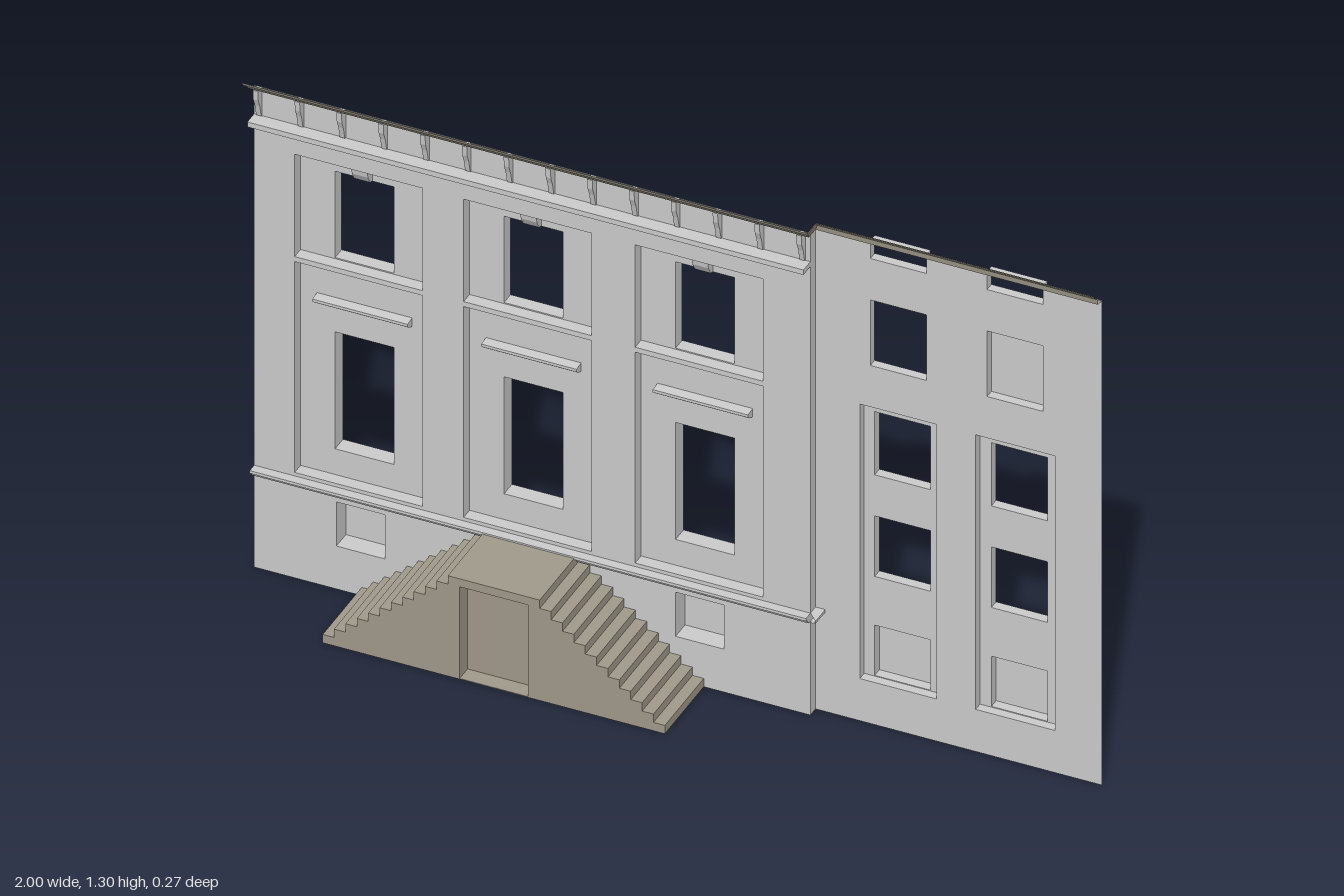
import * as THREE from 'three';

const grey = new THREE.MeshStandardMaterial({ color: 0xcccccc, flatShading: true, side: THREE.DoubleSide });
const stone = new THREE.MeshStandardMaterial({ color: 0xa09a8a, flatShading: true, side: THREE.DoubleSide });

const MAIN_Z = -0.062, WING_Z = -0.088, CORNER_X = 0.32;

function add(parent, name, geometry, material = grey) {
  const mesh = new THREE.Mesh(geometry, material);
  mesh.name = name;
  parent.add(mesh);
  return mesh;
}

const rect = (x0, x1, y0, y1) => [[x0, y0], [x1, y0], [x1, y1], [x0, y1]];
const toPoints = (pts) => pts.map(([x, y]) => new THREE.Vector2(x, y));

// A recess: rectangle pushed back to depth z, with or without a back, possibly holding more recesses
const recess = (x0, x1, y0, y1, z, open = false, inner = []) => ({ pts: rect(x0, x1, y0, y1), z, open, inner });

// Surface made of a grid of points, one row per station
function loft(rows) {
  const g = new THREE.BufferGeometry();
  const n = rows[0].length, index = [];
  for (let i = 0; i < rows.length - 1; i++) {
    for (let j = 0; j < n - 1; j++) {
      const a = i * n + j, b = a + n;
      index.push(a, a + 1, b, b, a + 1, b + 1);
    }
  }
  g.setAttribute('position', new THREE.Float32BufferAttribute(rows.flat(2), 3));
  g.setIndex(index);
  const flat = g.toNonIndexed();
  flat.computeVertexNormals();
  return flat;
}

// Thin wall sheet with its recesses and their reveals
function sheet(parent, name, pts, z, recesses) {
  const shape = new THREE.Shape(toPoints(pts));
  for (const r of recesses) shape.holes.push(new THREE.Path(toPoints(r.pts)));
  add(parent, name, new THREE.ShapeGeometry(shape).translate(0, 0, z));
  for (const r of recesses) {
    const loop = [...r.pts, r.pts[0]];
    add(parent, 'reveal', loft([z, r.z].map((d) => loop.map(([x, y]) => [x, y, d]))));
    if (!r.open) sheet(parent, 'recessBack', r.pts, r.z, r.inner);
  }
}

// Moulding: profile of [z, y] points run along x
function moulding(parent, name, profile, x0, x1, material = grey) {
  const g = new THREE.ExtrudeGeometry(new THREE.Shape(toPoints(profile)), { depth: x1 - x0, bevelEnabled: false });
  return add(parent, name, g.rotateY(-Math.PI / 2).translate(x1, 0, 0), material);
}

// Double staircase outline, from the lower right step over the landing to the lower left
function stairOutline() {
  const steps = 12, right = [], height = 0.262;
  for (let i = 0; i < steps; i++) {
    const x = 0.067 - (i * 0.297) / (steps - 1) ;
    right.push([x, (i * height) / steps], [x, ((i + 1) * height) / steps]);
  }
  const left = right.map(([x, y]) => [-0.678 - x, y]).reverse();
  return [...right, ...left];
}

export function createModel() {
  const model = new THREE.Group();
  model.name = 'townhouseFacade';
  const bays = [-0.752, -0.351, 0.056];

  // Main wall, cut around the staircase
  const main = new THREE.Group();
  main.name = 'mainWall';
  model.add(main);
  const mainRecesses = [];
  for (const c of bays) {
    mainRecesses.push(
      recess(c - 0.152, c + 0.152, 0.838, 1.105, -0.092, false,
        [recess(c - 0.07, c + 0.07, 0.841, 1.066, -0.125, true)]),
      recess(c - 0.152, c + 0.152, 0.275, 0.825, -0.092, false,
        [recess(c - 0.07, c + 0.07, 0.342, 0.647, -0.132, true)]));
  }
  for (const x of [-0.805, 0]) mainRecesses.push(recess(x, x + 0.115, 0.112, 0.227, -0.11));
  const outline = [[CORNER_X, 0], [CORNER_X, 1.258], [-1, 1.258], [-1, 0], ...stairOutline().reverse()];
  sheet(main, 'wall', outline, MAIN_Z, mainRecesses);
  add(main, 'cornerReturn', loft([MAIN_Z, WING_Z].map((z) => [[CORNER_X, 0, z], [CORNER_X, 1.26, z]])));

  // Side wing
  const wing = new THREE.Group();
  wing.name = 'sideWing';
  model.add(wing);
  const wingRecesses = [];
  [[0.45, 0.425, 0.607], [0.727, 0.7, 0.888]].forEach(([x, p0, p1], i) => {
    const x1 = x + 0.133;
    wingRecesses.push(
      recess(x, x1, 1.213, 1.26, -0.11, true),
      recess(x, x1, 0.934, 1.105, -0.11, i === 0),
      recess(p0, p1, 0.11, 0.826, -0.11, false, [
        recess(x, x1, 0.635, 0.8, -0.134, true),
        recess(x, x1, 0.37, 0.528, -0.134, true),
        recess(x, x1, 0.112, 0.243, -0.134),
      ]));
  });
  sheet(wing, 'wall', rect(CORNER_X, 1, 0, 1.265), WING_Z, wingRecesses);

  // Window hoods and keystones
  for (const c of bays) {
    moulding(model, 'windowHood', [[-0.092, 0.715], [-0.078, 0.72], [-0.068, 0.728], [-0.068, 0.735], [-0.092, 0.737]],
      c - 0.113, c + 0.113);
    moulding(model, 'keystone', [[-0.1, 1.066], [-0.08, 1.07], [-0.068, 1.09], [-0.066, 1.104], [-0.1, 1.104]],
      c - 0.019, c + 0.019);
  }

  // Belt course above the basement, turning the corner
  const belt = [[MAIN_Z, 0.245], [-0.052, 0.246], [-0.046, 0.256], [-0.039, 0.259], [-0.039, 0.266], [MAIN_Z, 0.266]];
  moulding(model, 'beltCourse', belt, -1, CORNER_X);
  const beltRows = [MAIN_Z, WING_Z].map((wall) =>
    belt.map(([z, y]) => [CORNER_X + z - MAIN_Z, y, wall === MAIN_Z ? z : WING_Z]));
  add(model, 'beltReturn', loft(beltRows));

  // Frieze ledge and brackets
  moulding(model, 'friezeLedge', rect(MAIN_Z, -0.027, 1.17, 1.183), -1, CORNER_X);
  for (let i = 0; i < 14; i++) {
    const x = -0.987 + i * 0.0992;
    moulding(model, 'bracket',
      [[MAIN_Z, 1.183], [-0.057, 1.185], [-0.05, 1.215], [-0.042, 1.235], [-0.04, 1.26], [MAIN_Z, 1.258]], x - 0.006, x + 0.006);
  }

  // Roof cornice: open sheet along the main wall, around the corner and along the wing
  const mainProfile = [[0, 1.302], [-0.004, 1.293], [-0.018, 1.283], [-0.033, 1.267], [MAIN_Z, 1.256]];
  const wingProfile = [[-0.044, 1.302], [-0.048, 1.296], [-0.064, 1.281], [-0.066, 1.267], [WING_Z, 1.263]];
  const cornerX = mainProfile.map(([z]) => CORNER_X + (z - MAIN_Z) * 0.35);
  const station = (profile, x) => profile.map(([z, y], i) => [x ?? cornerX[i], y, z]);
  add(model, 'roofCornice',
    loft([station(mainProfile, -1), station(mainProfile), station(wingProfile), station(wingProfile, 1)]), stone);

  // Double staircase with a door niche in its front
  const stairs = new THREE.Group();
  stairs.name = 'staircase';
  model.add(stairs);
  const extrude = (pts, z0, z1) => new THREE.ExtrudeGeometry(new THREE.Shape(toPoints(pts)),
    { depth: z1 - z0, bevelEnabled: false }).translate(0, 0, z0);
  const niche = [[-0.42, 0], [-0.42, 0.241], [-0.258, 0.241], [-0.258, 0]];
  add(stairs, 'stairBody', extrude(stairOutline(), MAIN_Z, 0.095), stone);
  add(stairs, 'stairFront', extrude([...stairOutline(), ...niche], 0.095, 0.135), stone);
  add(stairs, 'nicheFloor', new THREE.BoxGeometry(0.162, 0.002, 0.04).translate(-0.339, 0.001, 0.115), stone);

  return model;
}
